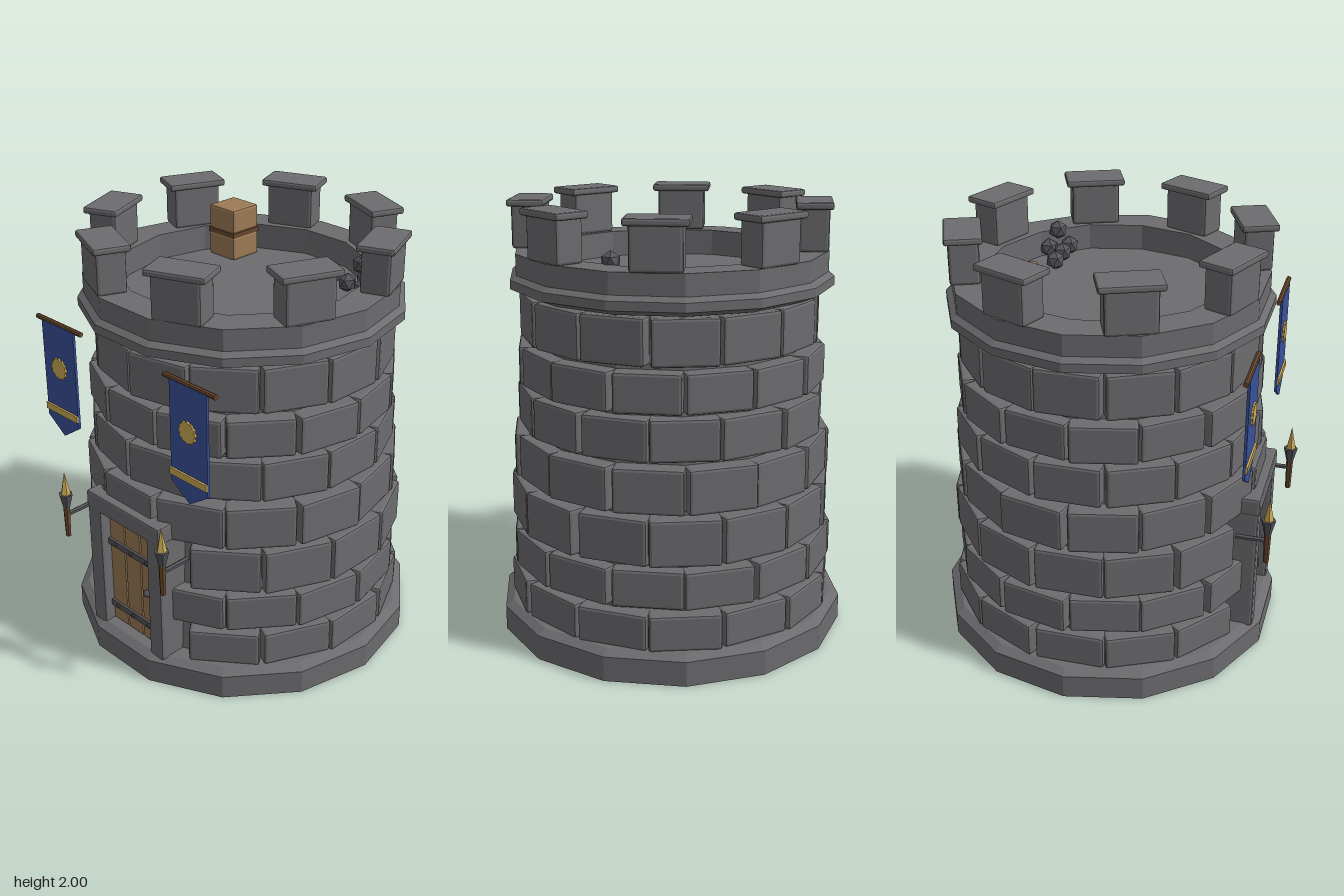
import * as THREE from 'three';
import { RoundedBoxGeometry } from 'three/addons/geometries/RoundedBoxGeometry.js';

const SIDES = 14;
const STEP = (Math.PI * 2) / SIDES;

const paint = (name, color) => {
  const m = new THREE.MeshStandardMaterial({ color });
  m.name = name;
  return m;
};

// Faceted normals for the low-poly look
function flat(geometry) {
  const g = geometry.index ? geometry.toNonIndexed() : geometry;
  g.computeVertexNormals();
  return g;
}

function seeded(seed) {
  return () => {
    seed = (seed * 16807) % 2147483647;
    return seed / 2147483647;
  };
}

export function createModel() {
  const stone = paint('stone', 0x6c6b6e);
  const wood = paint('wood', 0x9c7b55);
  const darkWood = paint('dark wood', 0x68482e);
  const iron = paint('iron', 0x55555a);
  const blue = paint('banner blue', 0x39509a);
  const gold = paint('gold', 0xcbab55);

  const model = new THREE.Group();
  model.name = 'castleTower';
  const rand = seeded(77);

  const add = (parent, name, geometry, material, x = 0, y = 0, z = 0) => {
    const mesh = new THREE.Mesh(flat(geometry), material);
    mesh.name = name;
    mesh.position.set(x, y, z);
    parent.add(mesh);
    return mesh;
  };
  const group = (parent, name, x = 0, y = 0, z = 0) => {
    const g = new THREE.Group();
    g.name = name;
    g.position.set(x, y, z);
    parent.add(g);
    return g;
  };
  const block = (w, h, d, bevel = 0.012) => new RoundedBoxGeometry(w, h, d, 1, bevel);
  const ring = (points) => new THREE.LatheGeometry(
    points.map(([r, y]) => new THREE.Vector2(r, y)), SIDES, Math.PI / 2);

  // Round stone body, its axis slightly behind the origin
  const tower = group(model, 'tower', 0, 0, -0.03);
  add(tower, 'base', ring([[0, 0], [0.815, 0], [0.815, 0.115], [0.775, 0.14], [0, 0.14]]), stone);
  add(tower, 'core', ring([[0.7, 0.13], [0.62, 1.62]]), stone);
  add(tower, 'parapet', ring([
    [0, 1.595], [0.67, 1.595], [0.742, 1.625], [0.742, 1.665], [0.715, 1.685],
    [0.715, 1.78], [0.565, 1.78], [0.565, 1.66], [0, 1.66],
  ]), stone);

  // Courses of bricks: bottom, top, face radius; every other course shifts by half a brick
  const courses = [
    [0.135, 0.3, 0.745], [0.322, 0.497, 0.735], [0.52, 0.732, 0.731], [0.75, 0.953, 0.72],
    [0.974, 1.163, 0.7], [1.182, 1.36, 0.69], [1.382, 1.59, 0.677],
  ];
  courses.forEach(([y0, y1, radius], row) => {
    const course = group(tower, 'brickCourse' + (row + 1));
    const shift = row % 2 === 0 ? 0.5 : 0;
    for (let i = 0; i < SIDES; i++) {
      const r = radius + (rand() - 0.5) * 0.016;
      const turn = (rand() - 0.5) * 0.025;
      const angle = (i + shift) * STEP;
      // leave the doorway open
      if (row < 3 && Math.cos(angle) > 0.95) continue;
      const depth = 0.13;
      const width = 2 * radius * Math.tan(STEP / 2) - 0.018;
      const brick = add(course, 'brick', block(width, y1 - y0, depth, 0.013), stone,
        Math.sin(angle + turn) * (r - depth / 2), (y0 + y1) / 2, Math.cos(angle + turn) * (r - depth / 2));
      brick.rotation.y = angle + turn;
    }
  });

  // Battlements with overhanging caps
  for (let i = 0; i < 8; i++) {
    const angle = ((i + 0.5) * Math.PI) / 4;
    const merlon = group(tower, 'merlon', Math.sin(angle) * 0.642, 0, Math.cos(angle) * 0.642);
    merlon.rotation.y = angle;
    add(merlon, 'merlonBlock', block(0.225, 0.2, 0.135, 0.013), stone, 0, 1.878, 0);
    add(merlon, 'merlonCap', block(0.275, 0.032, 0.167, 0.01), stone, 0, 1.984, 0);
  }

  // Doorway
  const doorway = group(model, 'doorway');
  for (const s of [-1, 1]) {
    add(doorway, 'doorJamb', block(0.088, 0.64, 0.16), stone, s * 0.201, 0.445, 0.652);
  }
  add(doorway, 'lintel', block(0.49, 0.09, 0.16), stone, 0, 0.793, 0.657);
  add(doorway, 'doorBacking', new THREE.BoxGeometry(0.33, 0.61, 0.05), darkWood, 0, 0.44, 0.635);
  for (let i = -1; i <= 1; i++) {
    add(doorway, 'doorPlank', block(0.1, 0.59, 0.04, 0.005), wood, i * 0.107, 0.437, 0.66);
  }
  for (const y of [0.235, 0.58]) {
    add(doorway, 'doorBand', new THREE.BoxGeometry(0.315, 0.032, 0.014), iron, 0, y, 0.685);
    for (let i = -1; i <= 1; i++) {
      add(doorway, 'rivet', new THREE.IcosahedronGeometry(0.011), iron, i * 0.107, y, 0.693);
    }
  }
  add(doorway, 'doorKnob', new THREE.IcosahedronGeometry(0.018, 1), iron, 0.1, 0.41, 0.69);

  // Hanging banners
  const cloth = new THREE.Shape([
    [-0.11, 1.58], [-0.11, 1.11], [0, 1.035], [0.11, 1.11], [0.11, 1.58],
  ].map(([x, y]) => new THREE.Vector2(x, y)));
  const emblem = new THREE.Shape();
  for (let i = 0; i < 24; i++) {
    const a = (i * Math.PI) / 12;
    const r = i % 2 ? 0.045 : 0.052;
    emblem[i ? 'lineTo' : 'moveTo'](Math.cos(a) * r, Math.sin(a) * r);
  }
  for (const s of [-1, 1]) {
    const banner = group(model, 'banner', s * 0.42, 0, 0.692);
    add(banner, 'cloth', new THREE.ExtrudeGeometry(cloth, { depth: 0.012, bevelEnabled: false }), blue);
    add(banner, 'emblem', new THREE.ExtrudeGeometry(emblem, { depth: 0.009, bevelEnabled: false }), gold, 0, 1.375, 0.012);
    add(banner, 'stripe', new THREE.BoxGeometry(0.22, 0.032, 0.009), gold, 0, 1.158, 0.0165);
    const rod = add(banner, 'rod', new THREE.CylinderGeometry(0.012, 0.012, 0.305, 8), darkWood, 0, 1.583, 0);
    rod.rotation.z = Math.PI / 2;
  }

  // Torches on wall brackets
  for (const s of [-1, 1]) {
    const torch = group(model, 'torch', s * 0.33, 0, 0.79);
    const bracket = add(torch, 'bracket', new THREE.CylinderGeometry(0.012, 0.012, 0.15, 6), iron, 0, 0.69, -0.07);
    bracket.rotation.x = Math.PI / 2;
    add(torch, 'shaft', new THREE.CylinderGeometry(0.017, 0.013, 0.17, 6), darkWood, 0, 0.66, 0);
    add(torch, 'cup', new THREE.CylinderGeometry(0.034, 0.016, 0.075, 6), iron, 0, 0.763, 0);
    add(torch, 'flame', new THREE.ConeGeometry(0.024, 0.115, 5), gold, 0, 0.857, 0);
  }

  // Supplies on the roof: a stacked crate and a pile of shot
  const crate = group(model, 'crate', -0.378, 0, -0.342);
  add(crate, 'crateLower', block(0.165, 0.115, 0.165), wood, 0, 1.717, 0);
  add(crate, 'crateBand', new THREE.BoxGeometry(0.167, 0.022, 0.167), darkWood, 0, 1.782, 0);
  add(crate, 'crateUpper', block(0.165, 0.115, 0.165), wood, 0, 1.848, 0);

  const shot = group(model, 'stoneShot');
  const balls = [[0.22, 1.7, -0.36], [0.33, 1.7, -0.36], [0.425, 1.7, -0.355], [0.37, 1.7, -0.44], [0.38, 1.79, -0.395]];
  for (const [x, y, z] of balls) {
    const ball = new THREE.IcosahedronGeometry(0.046).rotateZ(-0.5536);
    add(shot, 'shotBall', ball, iron, x, y, z);
  }
  return model;
}
